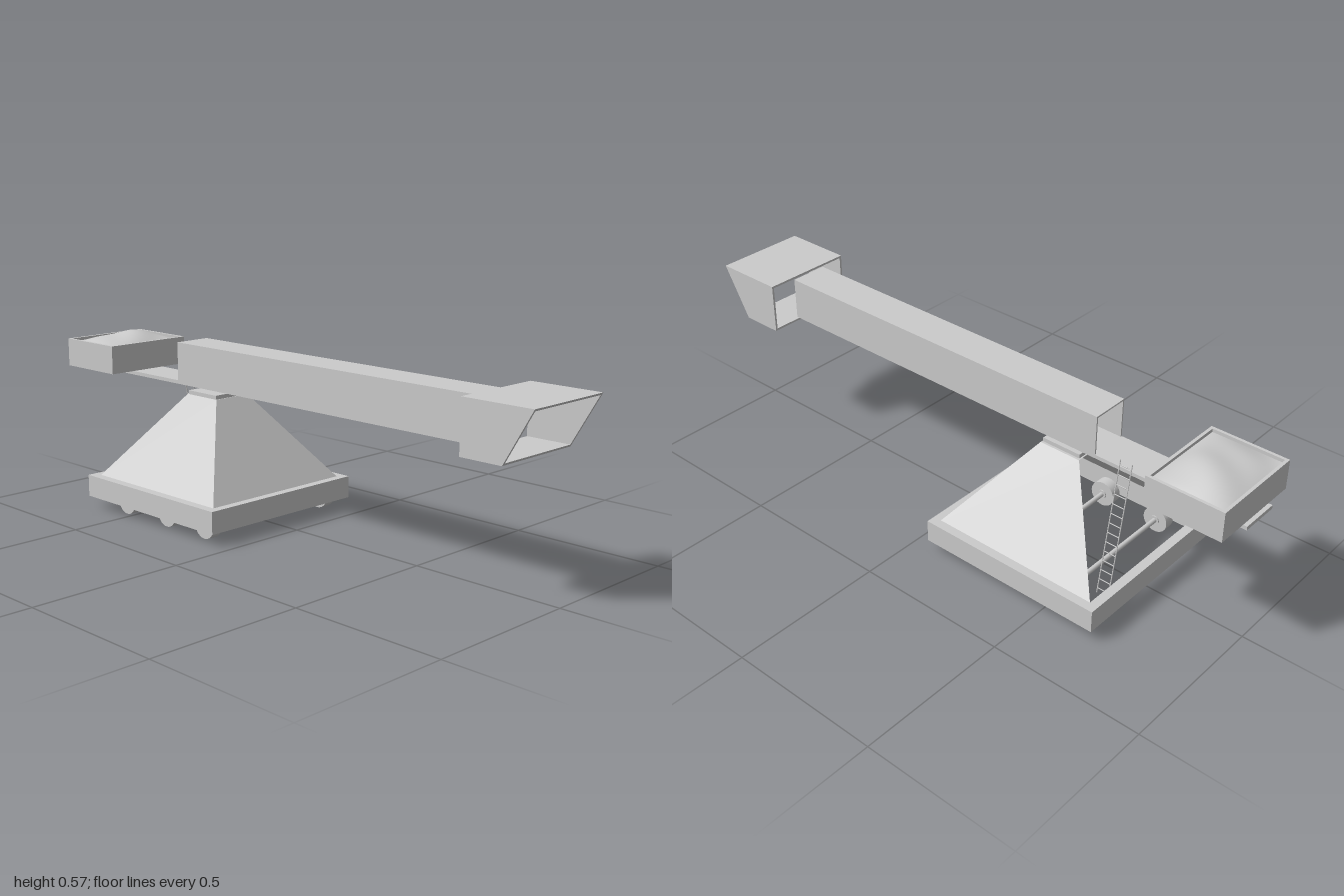
import * as THREE from 'three';

const mat = new THREE.MeshStandardMaterial({ color: 0xcccccc });
const thin = new THREE.MeshStandardMaterial({ color: 0xcccccc, side: THREE.DoubleSide });

function add(parent, name, geometry, material = mat) {
  const mesh = new THREE.Mesh(geometry, material);
  mesh.name = name;
  parent.add(mesh);
  return mesh;
}

// Box given by its limits on each axis
function box(parent, name, [x0, x1], [y0, y1], [z0, z1]) {
  const mesh = add(parent, name, new THREE.BoxGeometry(x1 - x0, y1 - y0, z1 - z0));
  mesh.position.set((x0 + x1) / 2, (y0 + y1) / 2, (z0 + z1) / 2);
  return mesh;
}

// Rectangular tube: outline with an inset hole, extruded along +z from z = 0
function rectTube(x0, x1, y0, y1, wall, depth) {
  const rect = (path, a, b, c, d) =>
    path.moveTo(a, c).lineTo(b, c).lineTo(b, d).lineTo(a, d).closePath();
  const shape = rect(new THREE.Shape(), x0, x1, y0, y1);
  shape.holes.push(rect(new THREE.Path(), x0 + wall, x1 - wall, y0 + wall, y1 - wall));
  return new THREE.ExtrudeGeometry(shape, { depth, bevelEnabled: false });
}

// Straight round rod between two points
function rod(parent, name, a, b, radius, sides = 8) {
  const path = new THREE.LineCurve3(new THREE.Vector3(...a), new THREE.Vector3(...b));
  return add(parent, name, new THREE.TubeGeometry(path, 1, radius, sides), thin);
}

function createCarriage() {
  const carriage = new THREE.Group();
  carriage.name = 'carriage';

  // Open rectangular base frame
  const frame = add(carriage, 'baseFrame', rectTube(-0.305, 0.305, -0.315, 0.315, 0.03, 0.073));
  frame.rotation.x = -Math.PI / 2;
  frame.position.set(0, 0.037, -0.375);

  // Tapered housing: front, two sides and cap, open at the back and below
  const ring = (x, y, zf, zb) => [[-x, y, zf], [x, y, zf], [x, y, zb], [-x, y, zb]];
  const low = ring(0.275, 0.11, -0.088, -0.66);
  const top = ring(0.068, 0.39, -0.302, -0.445);
  const points = [];
  const quad = (a, b, c, d) => points.push(...a, ...b, ...c, ...a, ...c, ...d);
  quad(low[0], low[1], top[1], top[0]);
  quad(low[1], low[2], top[2], top[1]);
  quad(low[3], low[0], top[0], top[3]);
  quad(...top);
  const housing = new THREE.BufferGeometry();
  housing.setAttribute('position', new THREE.Float32BufferAttribute(points, 3));
  housing.computeVertexNormals();
  add(carriage, 'housing', housing, thin);

  // Three axles, each with a pair of wheels and hubs
  for (const z of [-0.138, -0.322, -0.528]) {
    rod(carriage, 'axle', [-0.28, 0.043, z], [0.28, 0.043, z], 0.008, 12);
    for (const side of [-1, 1]) {
      const wheel = add(carriage, 'wheel', new THREE.CylinderGeometry(0.043, 0.043, 0.035, 32));
      const hub = add(carriage, 'hub', new THREE.CylinderGeometry(0.015, 0.015, 0.042, 16));
      for (const part of [wheel, hub]) {
        part.rotation.z = Math.PI / 2;
        part.position.set(side * 0.2525, 0.043, z);
      }
    }
  }

  // Turntable and pivot pin running up into the beam
  box(carriage, 'turntable', [-0.068, 0.06], [0.39, 0.403], [-0.44, -0.305]);
  const pin = add(carriage, 'pivotPin', new THREE.CylinderGeometry(0.007, 0.007, 0.165, 16));
  pin.position.set(0, 0.4725, -0.375);
  return carriage;
}

function createArm() {
  const arm = new THREE.Group();
  arm.name = 'arm';

  // Hollow beam and the floor plank that continues behind it
  add(arm, 'beam', rectTube(-0.067, 0.061, 0.417, 0.557, 0.005, 1.26)).position.z = -0.495;
  box(arm, 'floorPlank', [-0.067, 0.061], [0.417, 0.429], [-1, 0.765]);

  // Flared hollow head: the lower part of the front end is pushed back
  const head = rectTube(-0.153, 0.157, 0.403, 0.567, 0.007, 0.235);
  const p = head.attributes.position;
  for (let i = 0; i < p.count; i++) {
    if (p.getZ(i) > 0.1) p.setZ(i, 0.235 - 0.095 * (0.567 - p.getY(i)) / 0.164);
  }
  head.computeVertexNormals();
  add(arm, 'head', head).position.z = 0.765;
  return arm;
}

function createCounterweight() {
  const weight = new THREE.Group();
  weight.name = 'counterweight';

  // Open tray
  const tray = add(weight, 'trayWalls', rectTube(-0.157, 0.163, -0.126, 0.126, 0.01, 0.096));
  tray.rotation.x = -Math.PI / 2;
  tray.position.set(0, 0.429, -0.861);
  box(weight, 'trayFloor', [-0.15, 0.156], [0.432, 0.44], [-0.98, -0.742]);

  // Rounded, uneven heap filling the tray
  const heap = new THREE.PlaneGeometry(0.302, 0.234, 24, 20).rotateX(-Math.PI / 2);
  const p = heap.attributes.position;
  for (let i = 0; i < p.count; i++) {
    const u = p.getX(i) / 0.151, v = p.getZ(i) / 0.117;
    const dome = (1 - u * u) * (1 - v * v);
    p.setY(i, 0.514 + 0.031 * dome * (1 + 0.25 * u) + 0.004 * Math.sin(5 * u + 2 * v) * dome);
  }
  heap.computeVertexNormals();
  add(weight, 'heap', heap, thin).position.set(0.003, 0, -0.861);
  return weight;
}

function createLadder() {
  const ladder = new THREE.Group();
  ladder.name = 'ladder';
  const xAt = (t) => 0.138 - 0.075 * t;
  const yAt = (t) => 0.018 + 0.437 * t;
  for (const z of [-0.585, -0.626]) {
    rod(ladder, 'ladderRail', [xAt(0), yAt(0), z], [xAt(1), yAt(1), z], 0.002, 6);
  }
  const rungs = 14;
  for (let i = 0; i < rungs; i++) {
    const t = (i + 0.5) / rungs;
    rod(ladder, 'ladderRung', [xAt(t), yAt(t), -0.585], [xAt(t), yAt(t), -0.626], 0.0017, 6);
  }
  return ladder;
}

export function createModel() {
  const model = new THREE.Group();
  model.name = 'siegeRam';
  model.add(createCarriage(), createArm(), createCounterweight(), createLadder());
  return model;
}
